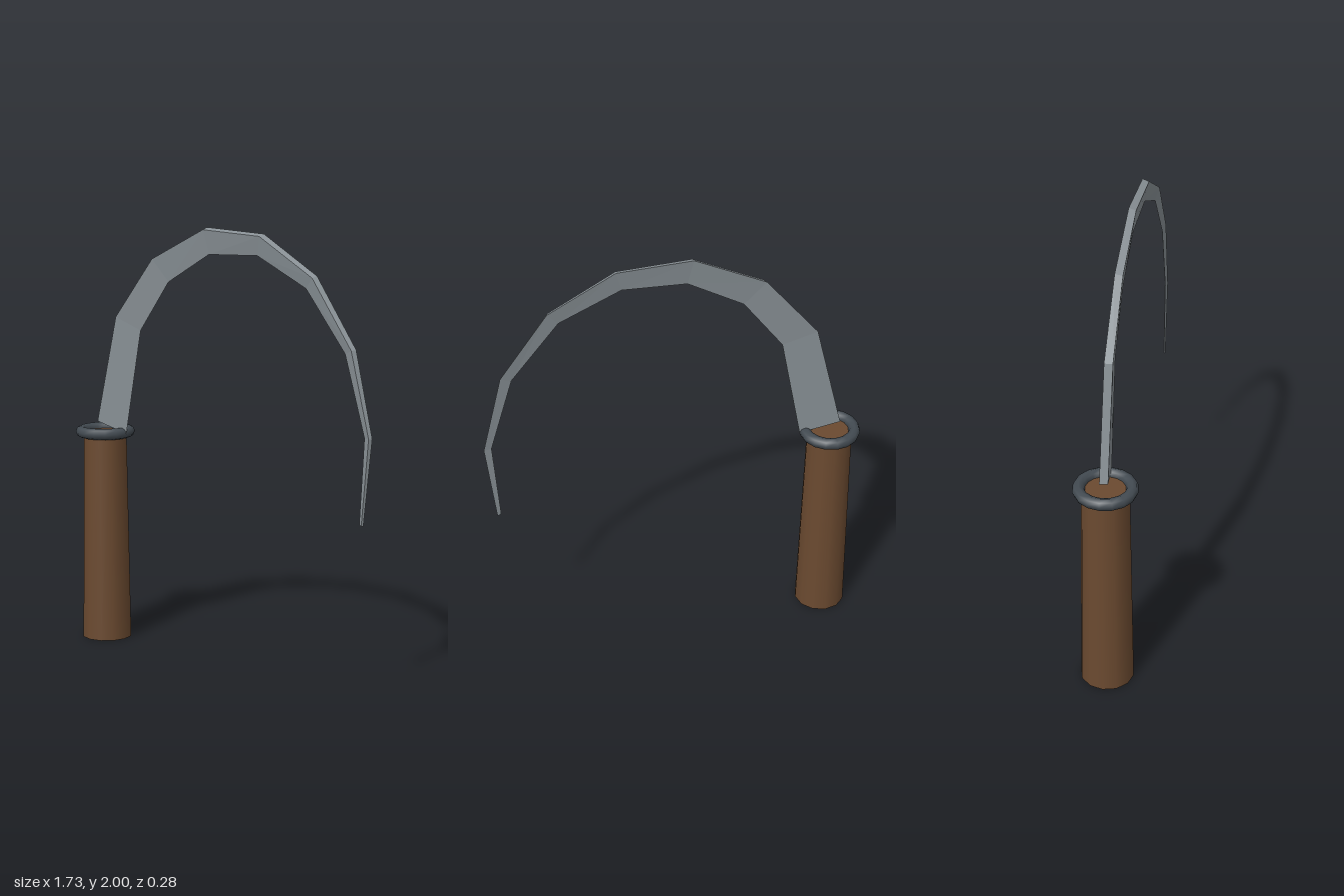
import * as THREE from 'three';

const HANDLE_X = -0.727;

// Blade stations: spine x, y, cutting edge x, y, half thickness of the spine
const STATIONS = [
  [-0.77, 1.06, -0.585, 1.01, 0.018],
  [-0.64, 1.57, -0.485, 1.51, 0.018],
  [-0.40, 1.855, -0.305, 1.745, 0.017],
  [-0.08, 2.0, -0.055, 1.88, 0.016],
  [0.255, 1.98, 0.23, 1.885, 0.015],
  [0.555, 1.81, 0.505, 1.755, 0.013],
  [0.77, 1.51, 0.72, 1.49, 0.011],
  [0.863, 1.14, 0.828, 1.14, 0.008],
  [0.825, 0.76, 0.807, 0.765, 0.005],
];

// Wedge section swept along the hook: back spine, front spine, cutting edge
function bladeGeometry() {
  const positions = [];
  const index = [];
  for (const [sx, sy, ex, ey, t] of STATIONS) {
    const inset = Math.min(0.01 / Math.hypot(ex - sx, ey - sy), 0.2);
    positions.push(sx, sy, -t);
    positions.push(sx + (ex - sx) * inset, sy + (ey - sy) * inset, t);
    positions.push(ex, ey, 0);
  }
  const last = (STATIONS.length - 1) * 3;
  for (let i = 0; i < last; i += 3) {
    for (let j = 0; j < 3; j++) {
      const a = i + j;
      const b = i + (j + 1) % 3;
      index.push(a, b, a + 3, b, b + 3, a + 3);
    }
  }
  index.push(0, 2, 1, last, last + 1, last + 2);
  const geometry = new THREE.BufferGeometry();
  geometry.setAttribute('position', new THREE.Float32BufferAttribute(positions, 3));
  geometry.setIndex(index);
  const flat = geometry.toNonIndexed();
  flat.computeVertexNormals();
  return flat;
}

export function createModel() {
  const group = new THREE.Group();
  const add = (name, geometry, color, x, y, options = {}) => {
    const mesh = new THREE.Mesh(geometry, new THREE.MeshStandardMaterial({ color, ...options }));
    mesh.name = name;
    mesh.position.set(x, y, 0);
    group.add(mesh);
    return mesh;
  };

  // Tapered wooden grip
  add('handle', new THREE.CylinderGeometry(0.105, 0.12, 1.01, 12), 0x6b4a30, HANDLE_X, 0.505);

  // Metal ring around the top of the grip
  const collar = add('collar', new THREE.TorusGeometry(0.115, 0.027, 8, 16), 0x434b52, HANDLE_X, 1.01);
  collar.rotation.x = Math.PI / 2;

  // Hooked blade, thick along the outside and sharp along the inside
  add('blade', bladeGeometry(), 0x899196, 0, 0, { flatShading: true, side: THREE.DoubleSide });

  return group;
}
